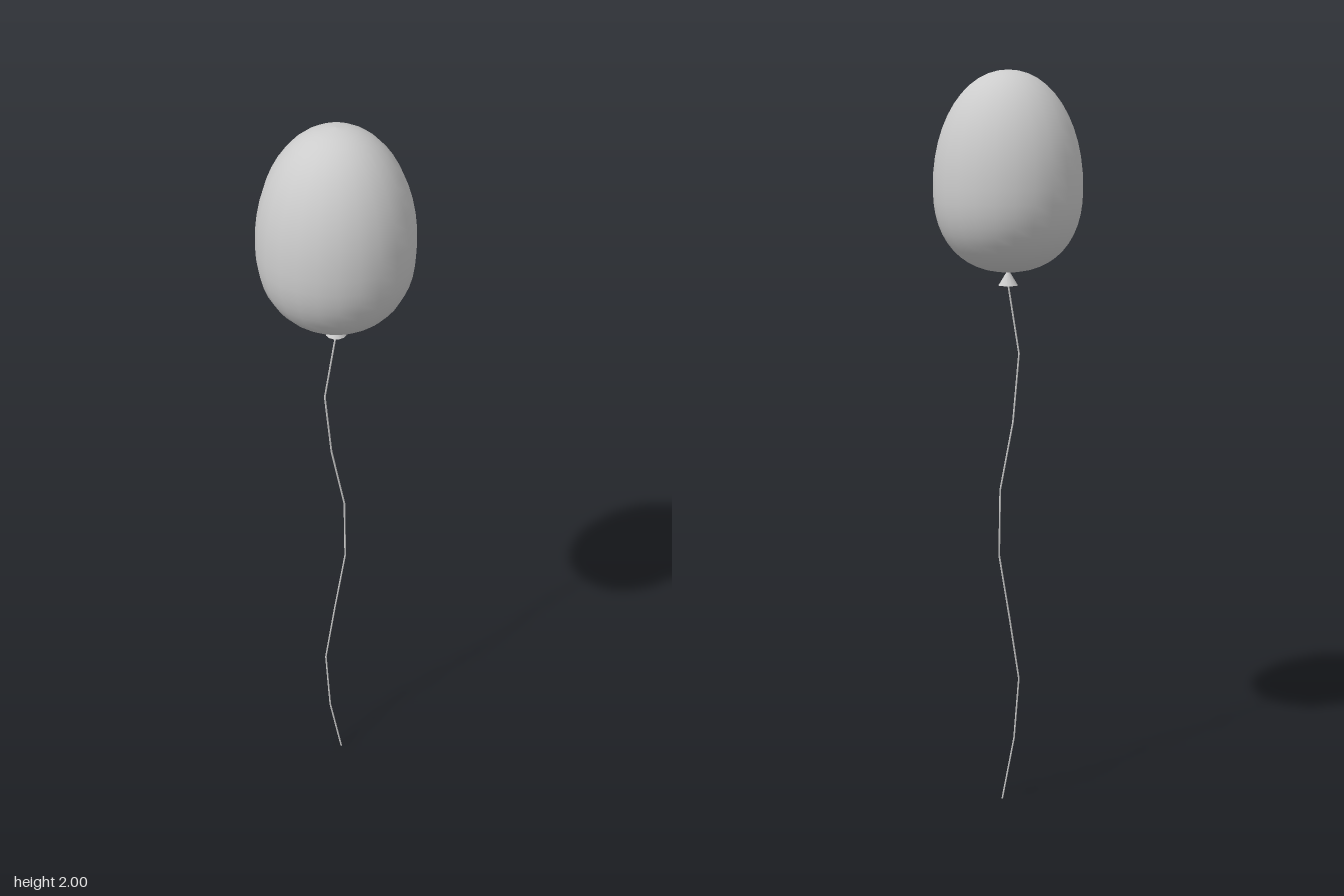
import * as THREE from 'three';

// Polyline curve whose samples land exactly on the given points
class Polyline extends THREE.Curve {
  constructor(points) {
    super();
    this.points = points;
  }
  getPoint(t, target = new THREE.Vector3()) {
    const n = this.points.length - 1;
    const i = Math.min(Math.floor(t * n + 1e-6), n - 1);
    return target.lerpVectors(this.points[i], this.points[i + 1], t * n - i);
  }
  getUtoTmapping(u) {
    return u;
  }
}

export function createModel() {
  const group = new THREE.Group();
  group.name = 'balloon';
  const grey = new THREE.MeshStandardMaterial({ color: 0xcccccc });
  grey.name = 'light grey';

  const add = (name, geometry) => {
    const mesh = new THREE.Mesh(geometry, grey);
    mesh.name = name;
    group.add(mesh);
    return mesh;
  };

  // Egg-shaped envelope: tall rounded top, shorter and squarer underside
  const radius = 0.194, waist = 1.705, up = 0.295, down = 0.215, steps = 24;
  const profile = [];
  for (let i = 0; i <= steps; i++) {
    const a = -Math.PI / 2 + (Math.PI * i) / steps;
    const power = a < 0 ? 0.88 : 0.97;
    const r = i === 0 || i === steps ? 0 : radius * Math.cos(a) ** power;
    const y = Math.sign(a) * Math.abs(Math.sin(a)) ** power * (a < 0 ? down : up);
    profile.push(new THREE.Vector2(r, waist + y));
  }
  add('envelope', new THREE.LatheGeometry(profile, 24));

  // Flared knot under the envelope
  add('knot', new THREE.ConeGeometry(0.026, 0.042, 12)).position.y = 1.476;

  // Wavy string, straight between evenly spaced bends
  const bends = [
    [0, 0], [-0.026, 0.016], [-0.013, -0.002], [0.018, -0.022], [0.021, -0.022],
    [-0.004, -0.003], [-0.027, 0.016], [-0.012, 0.026], [0.02, 0.016],
  ];
  const path = new Polyline(bends.map(([x, z], i) =>
    new THREE.Vector3(x, 1.456 * (1 - i / (bends.length - 1)), z)));
  add('string', new THREE.TubeGeometry(path, bends.length - 1, 0.0025, 6));

  return group;
}
